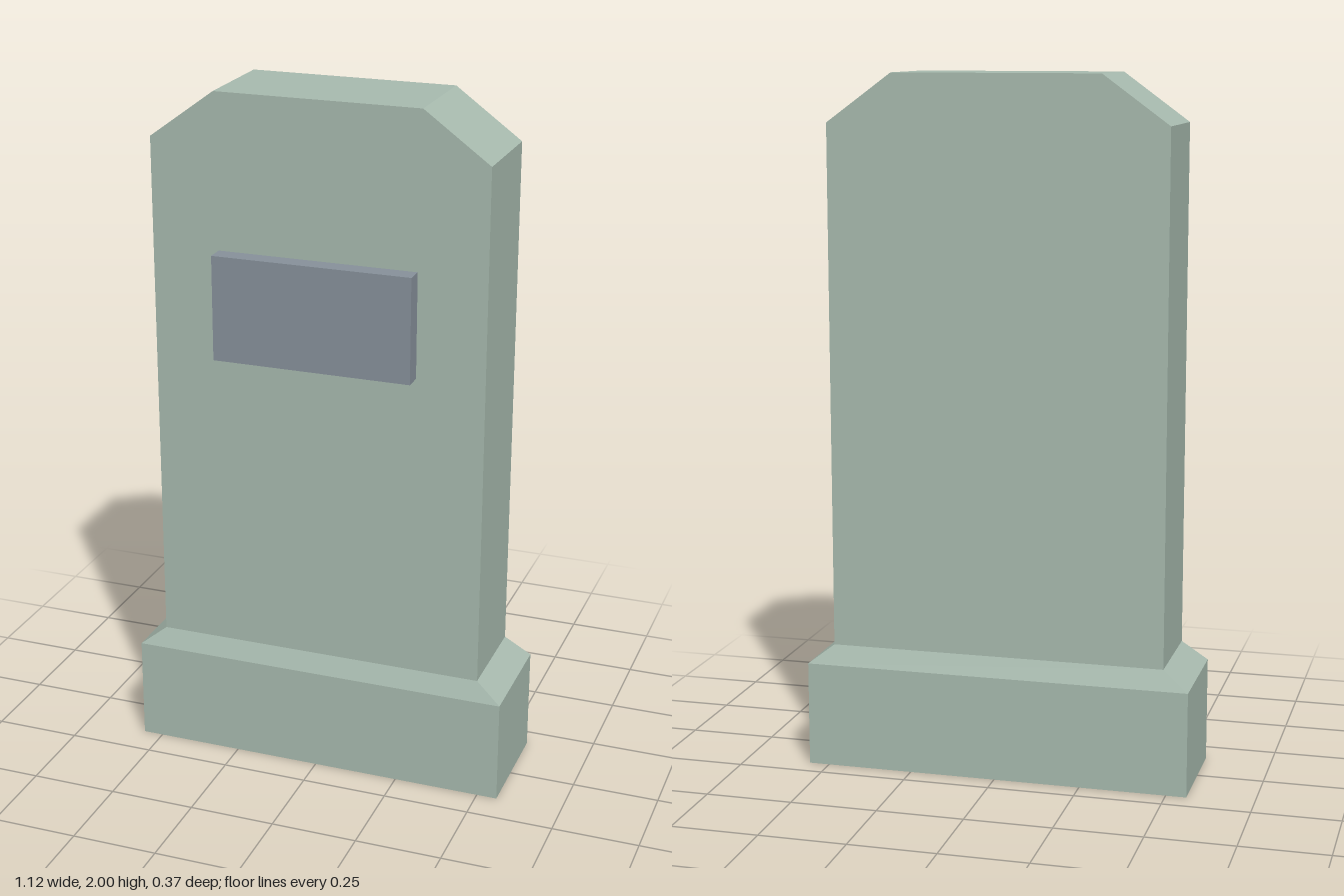
import * as THREE from 'three';

const stone = new THREE.MeshStandardMaterial({ color: 0xa9bcb0 });
stone.name = 'paleGreenStone';
const slate = new THREE.MeshStandardMaterial({ color: 0x88929c });
slate.name = 'greySlate';

const Z = -0.016; // centre of the stone in depth
const BASE = { w: 1.118, d: 0.335, h: 0.303 };
const SLAB = { w: 0.97, d: 0.291, bottom: 0.36, shoulder: 1.862, top: 2, topW: 0.592 };

function addMesh(group, name, geometry, material, y, z) {
  const mesh = new THREE.Mesh(geometry, material);
  mesh.name = name;
  mesh.position.set(0, y, z);
  group.add(mesh);
}

// Box whose top face is narrowed to the given width and depth
function taperedBox(w, h, d, topW, topD) {
  const geometry = new THREE.BoxGeometry(w, h, d);
  const p = geometry.attributes.position;
  for (let i = 0; i < p.count; i++) {
    if (p.getY(i) > 0) {
      p.setX(i, Math.sign(p.getX(i)) * topW / 2);
      p.setZ(i, Math.sign(p.getZ(i)) * topD / 2);
    }
  }
  geometry.computeVertexNormals();
  return geometry;
}

export function createModel() {
  const model = new THREE.Group();
  model.name = 'gravestone';

  // Plinth with a sloped shoulder meeting the slab
  addMesh(model, 'plinth', new THREE.BoxGeometry(BASE.w, BASE.h, BASE.d), stone, BASE.h / 2, Z);
  const slope = SLAB.bottom - BASE.h;
  addMesh(model, 'plinthSlope', taperedBox(BASE.w, slope, BASE.d, SLAB.w, SLAB.d),
    stone, BASE.h + slope / 2, Z);

  // Upright slab with clipped top corners
  const a = SLAB.w / 2, b = SLAB.topW / 2;
  const outline = new THREE.Shape([
    [-a, SLAB.bottom], [a, SLAB.bottom], [a, SLAB.shoulder],
    [b, SLAB.top], [-b, SLAB.top], [-a, SLAB.shoulder],
  ].map(([x, y]) => new THREE.Vector2(x, y)));
  const slab = new THREE.ExtrudeGeometry(outline, { depth: SLAB.d, bevelEnabled: false });
  addMesh(model, 'slab', slab, stone, 0, Z - SLAB.d / 2);

  // Raised plaque on the front
  const front = Z + SLAB.d / 2;
  const plaqueDepth = 0.183 - front;
  addMesh(model, 'plaque', new THREE.BoxGeometry(0.576, 0.303, plaqueDepth),
    slate, 1.405, front + plaqueDepth / 2);

  return model;
}
